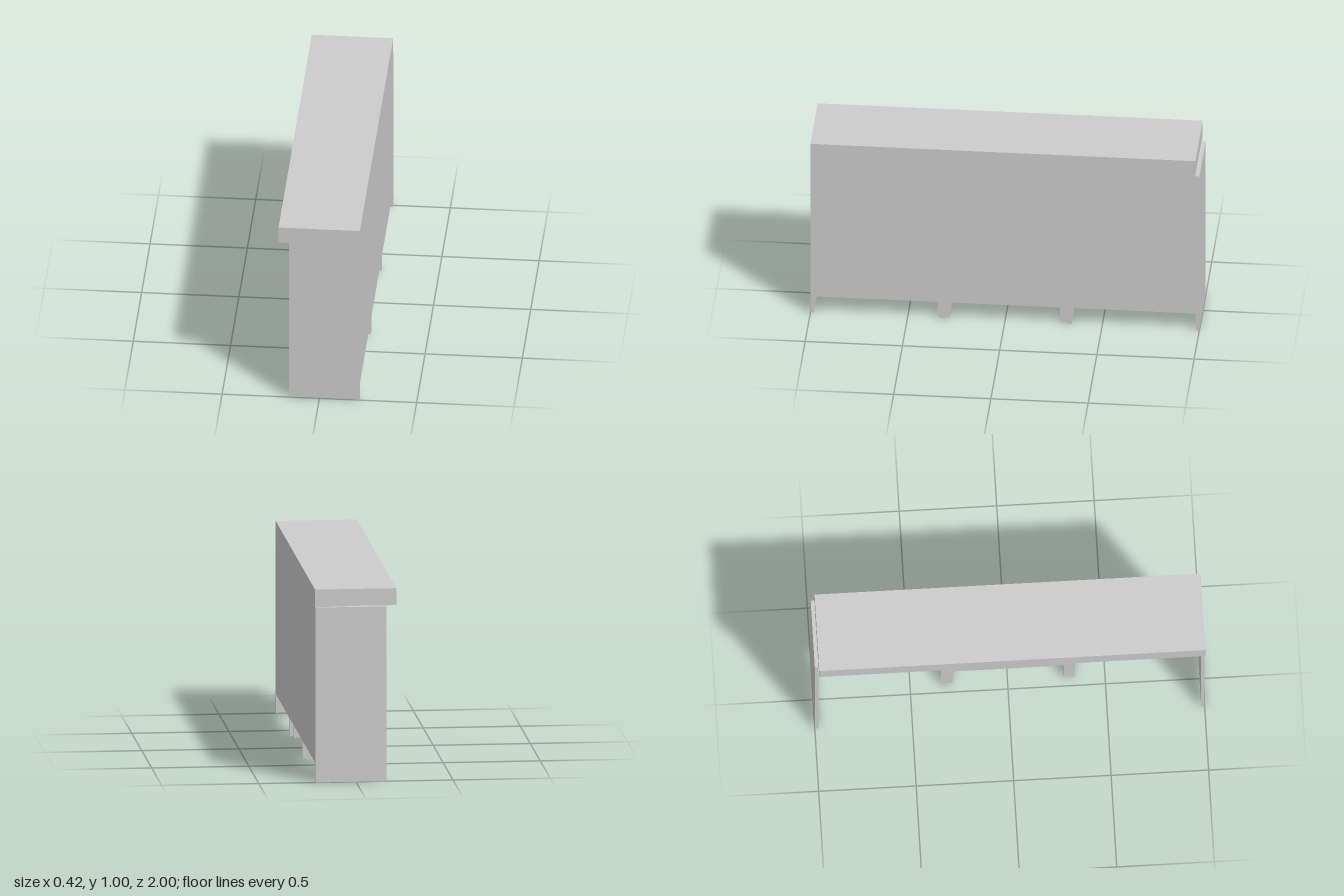
import * as THREE from 'three';

const material = new THREE.MeshStandardMaterial({ color: 0xcccccc, flatShading: true });

// Box given by its lower and upper limits on each axis
function block(name, [x0, x1], [y0, y1], [z0, z1]) {
  const mesh = new THREE.Mesh(new THREE.BoxGeometry(x1 - x0, y1 - y0, z1 - z0), material);
  mesh.position.set((x0 + x1) / 2, (y0 + y1) / 2, (z0 + z1) / 2);
  mesh.name = name;
  return mesh;
}

// Bench: one arch-shaped profile (seat plus two legs) extruded across its depth
function createBench() {
  const [z0, z1, height, under, leg] = [-0.342, 0.347, 0.27, 0.17, 0.06];
  const profile = new THREE.Shape([
    [z0, 0], [z0 + leg, 0], [z0 + leg, under], [z1 - leg, under],
    [z1 - leg, 0], [z1, 0], [z1, height], [z0, height],
  ].map(([z, y]) => new THREE.Vector2(-z, y)));
  const geometry = new THREE.ExtrudeGeometry(profile, { depth: 0.137, bevelEnabled: false });
  geometry.rotateY(Math.PI / 2);
  const bench = new THREE.Mesh(geometry, material);
  bench.position.x = 0.05;
  bench.name = 'bench';
  return bench;
}

export function createModel() {
  const shelter = new THREE.Group();
  shelter.name = 'shelter';

  // Deep flat roof overhanging the open side
  shelter.add(block('roof', [-0.21, 0.208], [0.912, 1], [-0.98, 1]));

  // Long rear wall raised off the ground
  shelter.add(block('rearWall', [0.194, 0.208], [0.1, 0.912], [-0.982, 0.982]));

  // End walls
  shelter.add(block('frontEndWall', [-0.157, 0.208], [0.005, 0.912], [0.982, 1]));
  shelter.add(block('backEndWall', [-0.157, 0.208], [0, 0.91], [-1, -0.982]));

  // Slim posts holding the rear wall
  for (const [z0, z1] of [[-0.342, -0.324], [0.306, 0.33]]) {
    shelter.add(block('wallPost', [0.187, 0.207], [0.005, 0.912], [z0, z1]));
  }

  shelter.add(createBench());
  return shelter;
}
